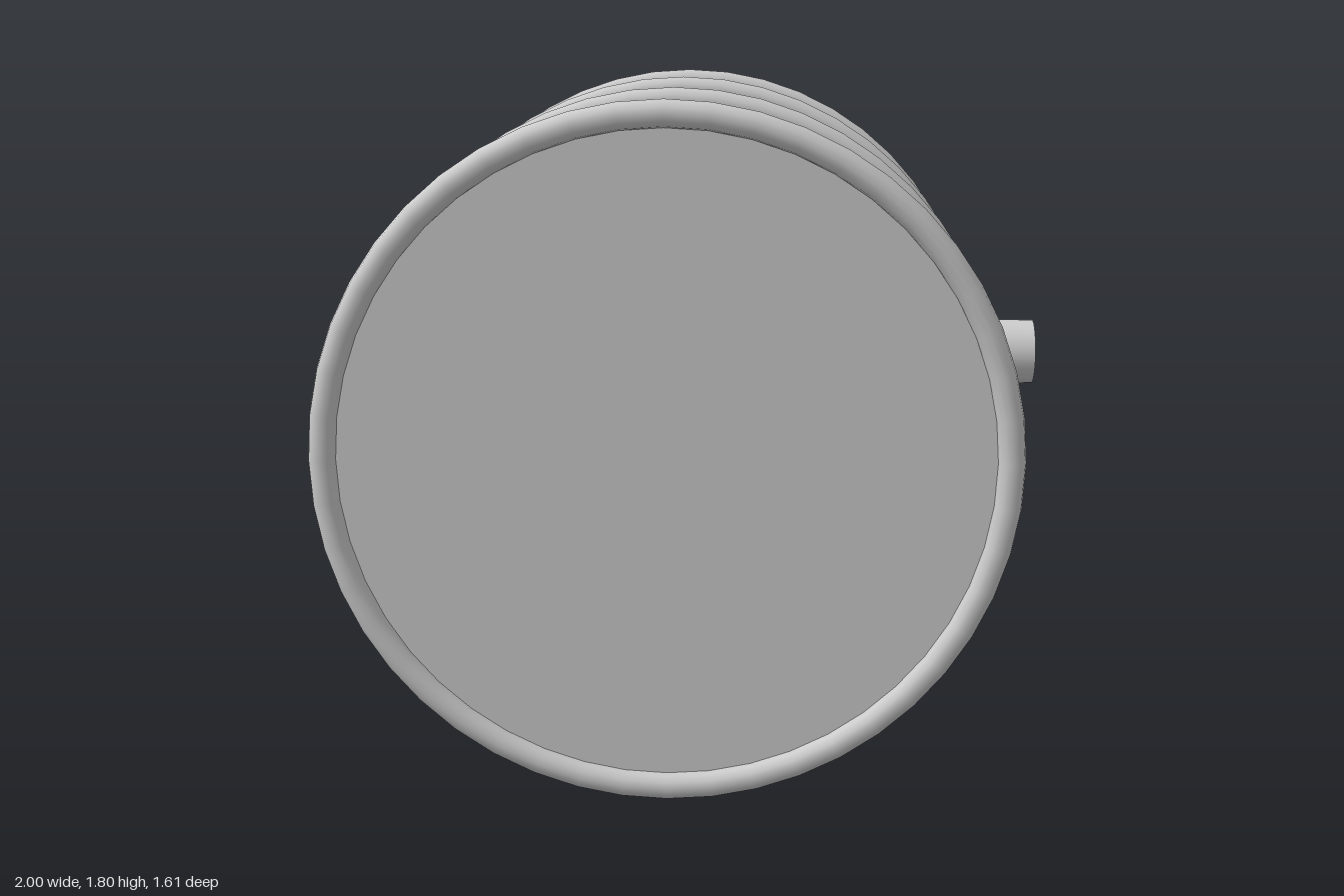
import * as THREE from 'three';

export function createModel() {
  const group = new THREE.Group();
  const grey = new THREE.MeshStandardMaterial({ color: 0xcccccc });
  grey.name = 'light grey';

  const cx = -0.1, cy = 0.9;
  const add = (name, geometry, x, y, z) => {
    const mesh = new THREE.Mesh(geometry, grey);
    mesh.name = name;
    mesh.position.set(x, y, z);
    group.add(mesh);
  };

  // Drum lying on its side, with its axis along z
  const front = 0.77, back = -0.797;
  const drum = new THREE.CylinderGeometry(0.864, 0.864, front - back, 16);
  drum.rotateX(Math.PI / 2);
  add('drumBody', drum, cx, cy, (front + back) / 2);

  // Raised hoops around the drum
  [0.768, 0.265, -0.285, -0.745].forEach((z, i) => {
    add('hoop' + (i + 1), new THREE.TorusGeometry(0.865, 0.035, 12, 48), cx, cy, z);
  });

  // Spout running from the drum's centre out through its left side
  const spout = new THREE.CylinderGeometry(0.102, 0.102, 1.1, 32);
  spout.rotateZ(-Math.PI / 2);
  add('spout', spout, 0.45, 0.907, -0.706);

  return group;
}
